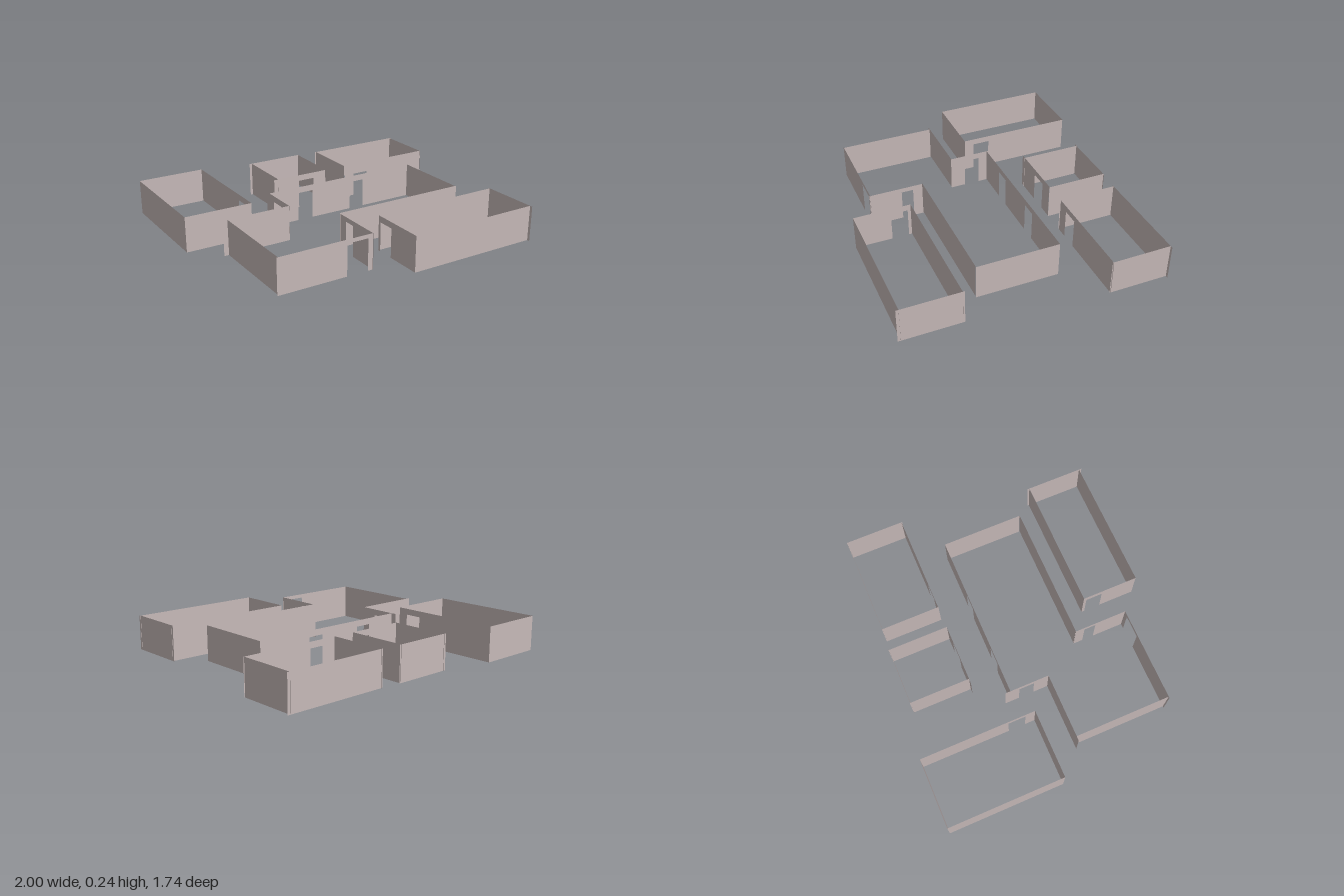
import * as THREE from 'three';

const HEIGHT = 0.23;

// Each wall: [name, axis it runs along, fixed coordinate, from, to, doors [from, to, height], bottom, top]
const ROOMS = {
  backLeftRoom: [
    ['backWall', 'x', -0.87, -1, -0.555],
    ['outerWall', 'z', -1, -0.87, -0.11],
    ['frontWall', 'x', -0.11, -1, -0.555],
    ['doorWall', 'z', -0.555, -0.87, -0.11, [[-0.288, -0.175, 0.19]]],
  ],
  smallRoom: [
    ['backWall', 'x', -0.797, -0.22, 0.18],
    ['leftWall', 'z', -0.203, -0.8, -0.403],
    ['rightWall', 'z', 0.172, -0.8, -0.403],
    ['doorWall', 'x', -0.405, -0.235, 0.165, [[-0.046, 0.07, 0.19]]],
  ],
  backRightRoom: [
    ['backWall', 'x', -0.787, 0.31, 1],
    ['innerWall', 'z', 0.32, -0.79, -0.403],
    ['outerWall', 'z', 0.983, -0.79, -0.4],
    ['doorWall', 'x', -0.405, 0.327, 0.988, [[0.4, 0.51, 0.19]]],
  ],
  mainHall: [
    ['backWall', 'x', -0.2, -0.38, 0.715, [[-0.168, -0.06, 0.19], [0.235, 0.34, 0.19]]],
    ['sideWall', 'z', 0.715, -0.2, 0.335],
    ['innerFrontWall', 'x', 0.337, -0.185, 0.715, [], 0.008, 0.236],
    ['entrySideWall', 'z', -0.183, 0.335, 0.69, [[0.4, 0.477, 0.2]]],
    ['entranceWall', 'x', 0.685, -0.81, -0.18, [[-0.358, -0.215, 0.205]]],
    ['outerWall', 'z', -0.8, 0.06, 0.685],
    ['innerBackWall', 'x', 0.058, -0.83, -0.38],
    ['passageWall', 'z', -0.38, -0.235, 0.06, [[-0.14, -0.04, 0.19]]],
  ],
  frontRightRoom: [
    ['backWall', 'x', 0.48, 0, 0.88],
    ['frontWall', 'x', 0.85, 0, 0.88],
    ['outerWall', 'z', 0.878, 0.468, 0.868],
    ['doorWall', 'z', 0, 0.48, 0.85, [[0.5, 0.61, 0.19]]],
  ],
};

// Thin upright sheet with doorways notched out of its bottom edge
function makeWall(material, [name, axis, at, from, to, doors = [], y0 = 0, y1 = HEIGHT]) {
  const outline = new THREE.Shape();
  outline.moveTo(from, y0);
  for (const [a, b, h] of doors) {
    outline.lineTo(a, y0);
    outline.lineTo(a, h);
    outline.lineTo(b, h);
    outline.lineTo(b, y0);
  }
  outline.lineTo(to, y0);
  outline.lineTo(to, y1);
  outline.lineTo(from, y1);
  outline.closePath();

  const wall = new THREE.Mesh(new THREE.ShapeGeometry(outline), material);
  wall.name = name;
  if (axis === 'x') {
    wall.position.z = at;
  } else {
    wall.rotation.y = -Math.PI / 2;
    wall.position.x = at;
  }
  return wall;
}

export function createModel() {
  const model = new THREE.Group();
  model.name = 'floorPlanWalls';
  const plaster = new THREE.MeshStandardMaterial({ color: 0xc6b9b8, side: THREE.DoubleSide });
  plaster.name = 'plaster';

  for (const [name, walls] of Object.entries(ROOMS)) {
    const room = new THREE.Group();
    room.name = name;
    for (const wall of walls) room.add(makeWall(plaster, wall));
    model.add(room);
  }
  return model;
}
